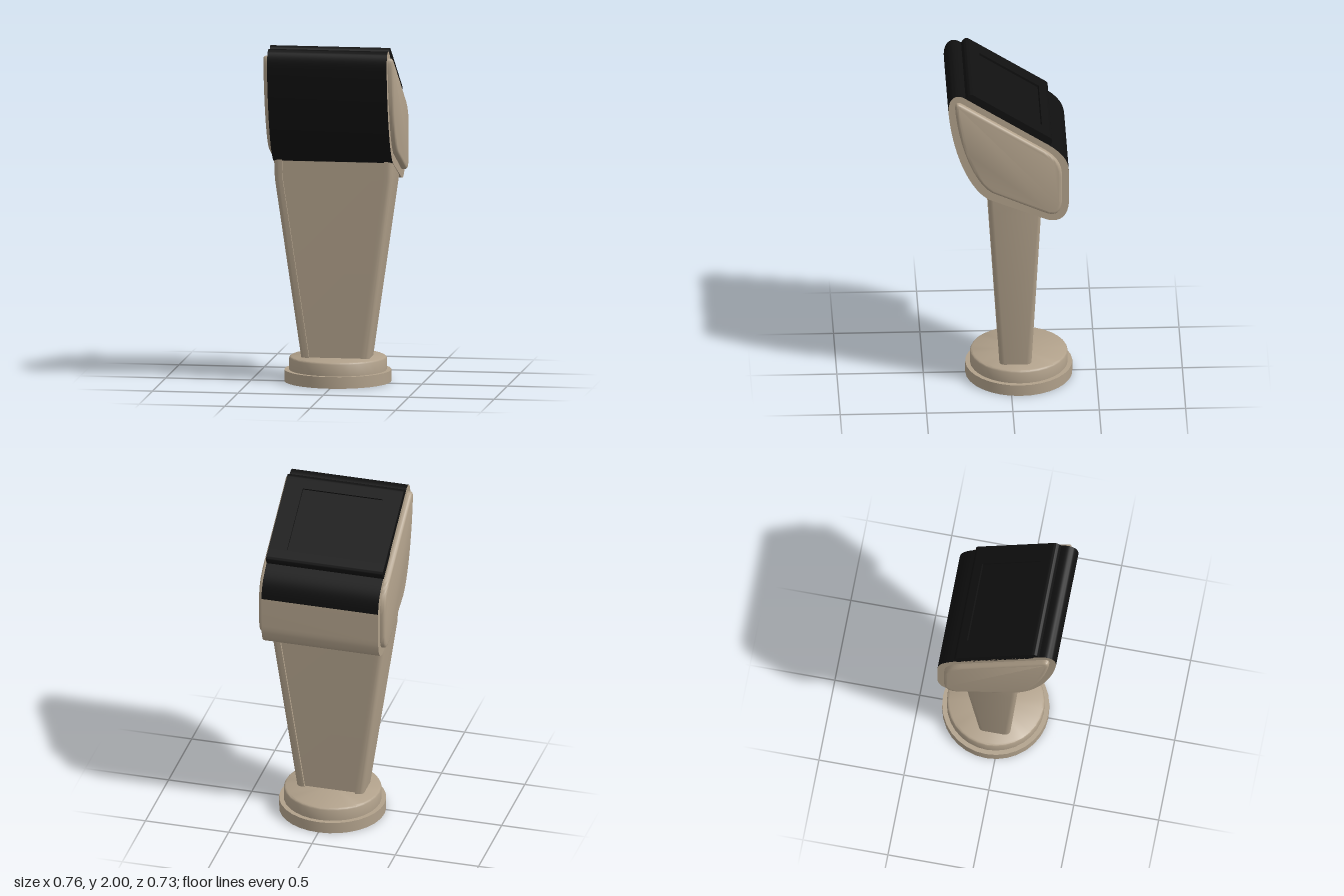
import * as THREE from 'three';
import { toCreasedNormals } from 'three/addons/utils/BufferGeometryUtils.js';

const tan = new THREE.MeshStandardMaterial({ color: 0xb0a08a, side: THREE.DoubleSide });
const black = new THREE.MeshStandardMaterial({ color: 0x101010, side: THREE.DoubleSide });

const HALF = 0.35; // half width of the head
const BASE_Z = -0.053;

function add(parent, name, geometry, material) {
  const mesh = new THREE.Mesh(geometry, material);
  mesh.name = name;
  parent.add(mesh);
  return mesh;
}

// Skin between rows of points that all have the same count
function loft(rows, closed) {
  const n = rows[0].length, pos = [], index = [];
  rows.forEach(row => row.forEach(p => pos.push(...p)));
  for (let r = 0; r < rows.length - 1; r++) {
    for (let i = 0; i < (closed ? n : n - 1); i++) {
      const j = (i + 1) % n;
      const a = r * n + i, b = r * n + j, c = b + n, d = a + n;
      index.push(a, b, c, a, c, d);
    }
  }
  const g = new THREE.BufferGeometry();
  g.setAttribute('position', new THREE.Float32BufferAttribute(pos, 3));
  g.setIndex(index);
  return toCreasedNormals(g, 0.6);
}

// Extrude a (z, y) outline across x, centred on x = 0
function acrossX(shape, width, bevel = 0) {
  const g = new THREE.ExtrudeGeometry(shape, {
    depth: width - 2 * bevel, curveSegments: 10, bevelEnabled: bevel > 0,
    bevelSize: bevel, bevelThickness: bevel, bevelOffset: -bevel, bevelSegments: 4,
  });
  g.translate(0, 0, bevel - width / 2).rotateY(-Math.PI / 2);
  return toCreasedNormals(g, 0.6);
}

// Stepped round foot
function buildBase(group) {
  const profile = [[0, 0], [0.31, 0], [0.31, 0.068], [0.283, 0.068], [0.283, 0.135],
    [0.279, 0.143], [0.27, 0.148], [0, 0.148]].map(p => new THREE.Vector2(...p));
  const g = toCreasedNormals(new THREE.LatheGeometry(profile, 32), 0.6);
  add(group, 'base', g, tan).position.z = BASE_Z;
}

// Column section: rounded side posts with recessed panels front and back
function columnRing(y, w, zf, zb) {
  const r = 0.03, edge = w - 0.05, depth = 0.014;
  const half = [[edge, zf - depth], [edge, zf]];
  for (let i = 0; i <= 5; i++) {
    const a = i / 5 * Math.PI / 2;
    half.push([w - r + r * Math.sin(a), zf - r + r * Math.cos(a)]);
  }
  for (let i = 0; i <= 5; i++) {
    const a = i / 5 * Math.PI / 2;
    half.push([w - r + r * Math.cos(a), zb + r - r * Math.sin(a)]);
  }
  half.push([edge, zb], [edge, zb + depth]);
  const other = half.map(([x, z]) => [-x, z]).reverse();
  return [...half, ...other].map(([x, z]) => [x, y, z]);
}

function buildColumn(group) {
  add(group, 'column', loft([
    columnRing(0.14, 0.2, 0.065, -0.12),
    columnRing(1.2, 0.345, 0.133, -0.17),
    columnRing(1.33, 0.349, 0.14, -0.175),
  ], true), tan);
  const rail = add(group, 'backTopRail', new THREE.BoxGeometry(0.6, 0.06, 0.03), tan);
  rail.position.set(0, 1.18, -0.153);
}

// Head shell: black cover over front and top, tan underside and ends
function buildHead(group) {
  const cover = new THREE.Path();
  cover.moveTo(0.13, 1.31);
  cover.bezierCurveTo(0.25, 1.38, 0.34, 1.62, 0.365, 1.86);
  cover.bezierCurveTo(0.38, 1.96, 0.335, 2.02, 0.27, 1.975);
  cover.lineTo(-0.21, 1.665);
  cover.bezierCurveTo(-0.29, 1.61, -0.33, 1.56, -0.33, 1.48);
  const under = new THREE.Path();
  under.moveTo(-0.33, 1.48);
  under.lineTo(-0.33, 1.3);
  under.bezierCurveTo(-0.33, 1.18, -0.26, 1.145, -0.18, 1.185);
  under.lineTo(0.13, 1.31);

  const coverPts = cover.getPoints(14), underPts = under.getPoints(14);
  const ribbon = pts => loft([HALF, -HALF].map(x => pts.map(p => [x, p.y, p.x])), false);
  add(group, 'headCover', ribbon(coverPts), black);
  add(group, 'headUnderside', ribbon(underPts), tan);

  const endShape = new THREE.Shape([...coverPts, ...underPts.slice(1, -1)]);

  // Raised panel on each end
  const panel = new THREE.Shape();
  panel.moveTo(0.115, 1.365);
  panel.bezierCurveTo(0.22, 1.43, 0.3, 1.66, 0.325, 1.87);
  panel.bezierCurveTo(0.335, 1.95, 0.325, 1.965, 0.285, 1.94);
  panel.lineTo(-0.19, 1.635);
  panel.bezierCurveTo(-0.26, 1.585, -0.29, 1.54, -0.29, 1.46);
  panel.lineTo(-0.29, 1.31);
  panel.bezierCurveTo(-0.285, 1.22, -0.25, 1.205, -0.19, 1.23);
  panel.closePath();

  for (const [side, s] of [['left', 1], ['right', -1]]) {
    const end = new THREE.ShapeGeometry(endShape).rotateY(-s * -Math.PI / 2);
    if (s > 0) end.scale(1, 1, -1); // keep z running the same way on both ends
    if (s > 0) {
      const idx = end.index.array;
      for (let i = 0; i < idx.length; i += 3) [idx[i], idx[i + 1]] = [idx[i + 1], idx[i]];
      end.computeVertexNormals();
    }
    // Winding is set so that each end faces outward
    if (s > 0 && end.attributes.normal.getX(0) < 0) {
      const idx = end.index.array;
      for (let i = 0; i < idx.length; i += 3) [idx[i], idx[i + 1]] = [idx[i + 1], idx[i]];
      end.computeVertexNormals();
    }
    add(group, side + 'HeadEnd', end, tan).position.x = s * HALF;
    add(group, side + 'SidePanel', acrossX(panel, 0.06, 0.018), tan).position.x = s * HALF;
  }
}

// Sloped top plate with a recessed screen
function buildTopPlate(group) {
  const plate = new THREE.Group();
  plate.name = 'topPlate';
  plate.position.set(0, 1.853, 0);
  plate.rotation.x = -Math.atan2(0.31, 0.48);
  group.add(plate);

  const end = 0.29, r = 0.03, thick = 0.055, hole = [-0.212, 0.198], holeX = 0.24;
  for (const [name, s, inner] of [['upperBar', 1, hole[1]], ['lowerBar', -1, hole[0]]]) {
    const bar = new THREE.Shape();
    bar.moveTo(inner, -thick);
    bar.lineTo(s * end, -thick);
    bar.lineTo(s * end, -r);
    bar.quadraticCurveTo(s * end, 0, s * (end - r), 0);
    bar.lineTo(inner, 0);
    bar.closePath();
    add(plate, name, acrossX(bar, 2 * HALF), black);
  }
  const length = hole[1] - hole[0], mid = (hole[0] + hole[1]) / 2;
  for (const s of [1, -1]) {
    const g = new THREE.BoxGeometry(HALF - holeX, thick, length);
    add(plate, s > 0 ? 'leftBar' : 'rightBar', g, black)
      .position.set(s * (HALF + holeX) / 2, -thick / 2, mid);
  }
  const screen = add(plate, 'screen', new THREE.BoxGeometry(2 * holeX, 0.04, length), black);
  screen.position.set(0, -0.032, mid);
}

export function createModel() {
  const group = new THREE.Group();
  group.name = 'kiosk';
  buildBase(group);
  buildColumn(group);
  buildHead(group);
  buildTopPlate(group);
  return group;
}
